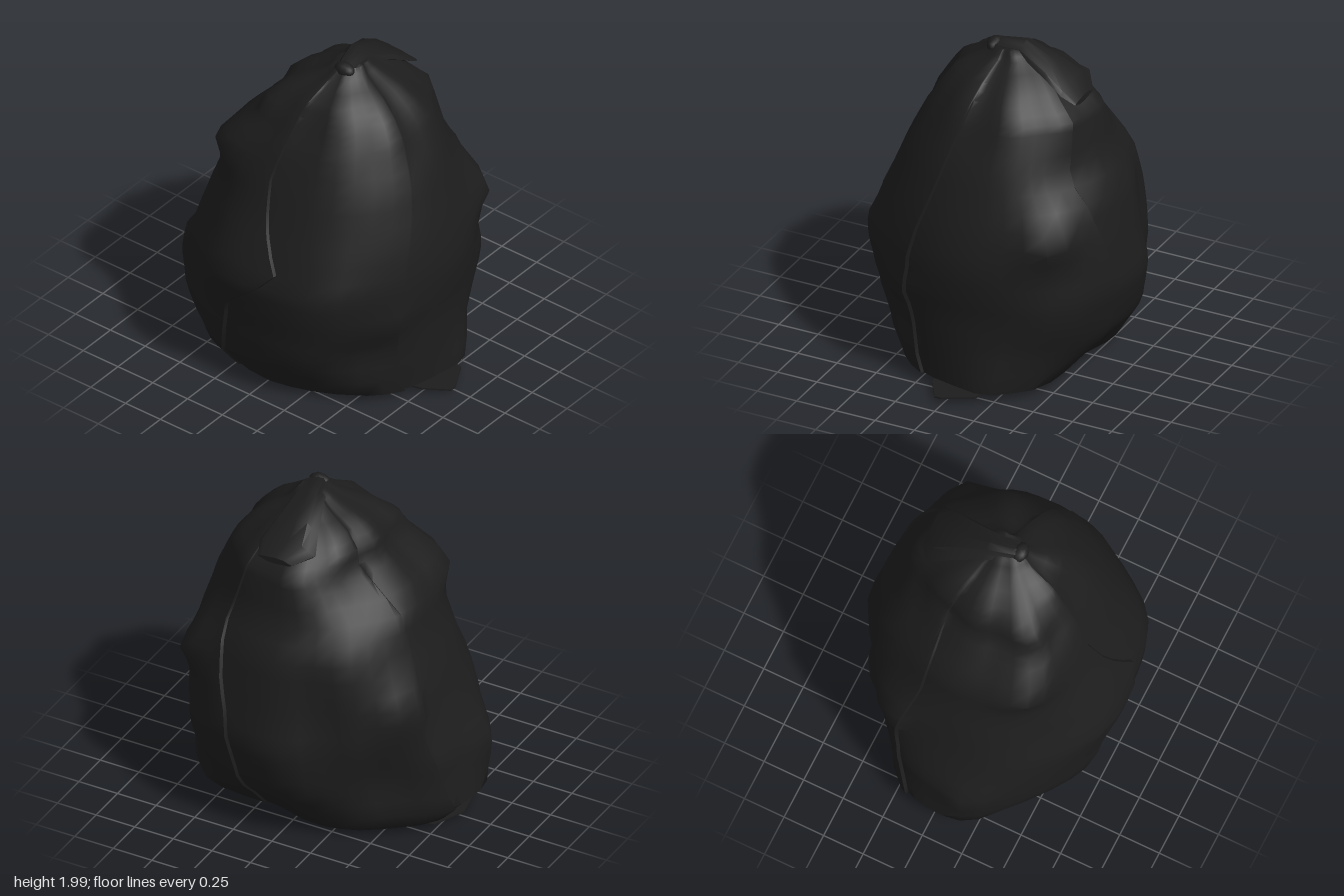
import * as THREE from 'three';
import { toCreasedNormals } from 'three/addons/utils/BufferGeometryUtils.js';

// Height profile of the sack: y, xMin, xMax, zBack, zFront
const PROFILE = [
  [0.01, -0.72, 0.62, -0.46, 0.59],
  [0.06, -0.80, 0.77, -0.58, 0.63],
  [0.17, -0.91, 0.77, -0.65, 0.71],
  [0.36, -0.87, 0.78, -0.76, 0.75],
  [0.50, -0.86, 0.79, -0.79, 0.76],
  [0.66, -0.81, 0.82, -0.81, 0.785],
  [0.82, -0.75, 0.83, -0.79, 0.81],
  [1.00, -0.69, 0.80, -0.77, 0.74],
  [1.20, -0.62, 0.75, -0.73, 0.64],
  [1.40, -0.57, 0.69, -0.61, 0.55],
  [1.57, -0.40, 0.60, -0.58, 0.47],
  [1.66, -0.31, 0.55, -0.56, 0.41],
  [1.75, -0.28, 0.48, -0.46, 0.35],
  [1.83, -0.20, 0.39, -0.37, 0.29],
  [1.92, -0.02, 0.25, -0.23, 0.14],
  [1.97, 0.05, 0.21, -0.14, 0.08],
];

// Overlapping folds: resting angle, then [y, angle] along the fold
const FOLDS = [
  { a0: 0, path: [[0, -0.32], [0.6, -0.2], [0.9, 0.22], [1.15, 0.03], [1.4, -0.08], [2, -0.1]] },
  { a0: 1.2, path: [[0, 1.2], [0.6, 1.15], [1.0, 1.22], [1.6, 1.4], [2, 1.5]] },
  { a0: 2.75, path: [[0, 2.85], [0.8, 2.8], [1.3, 2.6], [2, 2.75]] },
  { a0: -1.9, path: [[0, -1.8], [0.7, -1.95], [1.2, -1.85], [2, -2.0]] },
];

// Local swellings and hollows: angle, y, amount, angular width, height
const BULGES = [
  [2.31, 1.04, 0.12, 0.18, 0.14],
  [2.35, 0.52, 0.06, 0.25, 0.2],
  [2.35, 0.08, 0.06, 0.2, 0.12],
  [2.65, 0.9, 0.04, 0.2, 0.4],
  [2.95, 0.08, -0.12, 0.35, 0.12],
  [0.62, 0.7, 0.03, 0.25, 0.3],
  [-1.31, 0.44, 0.06, 0.16, 0.16],
  [-0.8, 0.1, -0.1, 0.35, 0.14],
  [-0.8, 1.47, 0.17, 0.35, 0.17],
  [-0.75, 1.72, 0.14, 0.35, 0.1],
  [-0.8, 0.92, -0.04, 0.3, 0.15],
  [-2.05, 0.88, 0.08, 0.2, 0.16],
  [-2.3, 0.4, -0.13, 0.3, 0.28],
  [-2.75, 0.75, -0.09, 0.18, 0.5],
  [-2.3, 1.55, -0.09, 0.3, 0.18],
  [0.9, 0.35, -0.05, 0.25, 0.12],
  [0.35, 0.1, -0.08, 0.3, 0.12],
  [1.95, 0.1, 0.07, 0.25, 0.13],
  [1.1, 0.6, 0.03, 0.15, 0.1],
  [3.0, 0.62, 0.02, 0.25, 0.2],
];

const wrap = a => Math.atan2(Math.sin(a), Math.cos(a));

// Straight interpolation along a table whose first column is the position
function sample(table, p) {
  let i = 0;
  while (i < table.length - 2 && p > table[i + 1][0]) i++;
  const a = table[i], b = table[i + 1];
  const t = THREE.MathUtils.clamp((p - a[0]) / (b[0] - a[0]), 0, 1);
  return a.map((v, k) => v + (b[k] - v) * t);
}

// Skin a stack of closed rings and cap both ends
function loft(rings, crease) {
  const n = rings[0].length, pos = [], index = [];
  rings.forEach(r => r.forEach(p => pos.push(p.x, p.y, p.z)));
  for (let j = 0; j < rings.length - 1; j++) {
    for (let i = 0; i < n; i++) {
      const k = (i + 1) % n, a = j * n + i, b = j * n + k;
      index.push(a, b, b + n, a, b + n, a + n);
    }
  }
  [0, rings.length - 1].forEach(j => {
    const c = new THREE.Vector3();
    rings[j].forEach(p => c.addScaledVector(p, 1 / n));
    const m = pos.length / 3;
    pos.push(c.x, c.y, c.z);
    for (let i = 0; i < n; i++) {
      const a = j * n + i, b = j * n + (i + 1) % n;
      if (j === 0) index.push(m, b, a);
      else index.push(m, a, b);
    }
  });
  const g = new THREE.BufferGeometry();
  g.setAttribute('position', new THREE.Float32BufferAttribute(pos, 3));
  g.setIndex(index);
  return toCreasedNormals(g, crease);
}

function sackGeometry() {
  // Columns: even spacing, plus a close pair at each fold edge
  const columns = [];
  for (let i = 0; i < 40; i++) columns.push(-Math.PI + (i + 0.5) * Math.PI / 20);
  FOLDS.forEach(f => columns.push(f.a0 - 0.006, f.a0 + 0.006));
  columns.sort((a, b) => a - b);

  // Rows: every profile height with one row between
  const rows = [];
  PROFILE.forEach((p, i) => {
    rows.push(p[0]);
    if (i > 1 && i < PROFILE.length - 1) rows.push((p[0] + PROFILE[i + 1][0]) / 2);
  });

  const rings = rows.map(y => {
    const [, x0, x1, z0, z1] = sample(PROFILE, y);
    const lean = Math.pow(y / 2, 3);
    const cx = 0.13 * lean, cz = -0.04 * lean;
    const edges = FOLDS.map(f => sample(f.path, y)[1]);
    return columns.map(c => {
      // Slide the columns so that they follow the folds
      let th = c;
      FOLDS.forEach((f, k) => {
        const d = Math.abs(wrap(c - f.a0));
        th += (edges[k] - f.a0) * Math.max(0, 1 - d / 0.75);
      });
      let s = 1;
      edges.forEach(e => {
        const d = wrap(th - e);
        if (d > 0 && d < 0.5) s -= 0.025 * (1 - d / 0.5);
      });
      BULGES.forEach(([a, by, amt, wa, wy]) => {
        s += amt * 1.25 * Math.exp(-((wrap(th - a) / wa) ** 2) - ((y - by) / wy) ** 2);
      });
      // Soft crumples and gathered pleats toward the neck
      s += 0.012 * Math.sin(5 * th + 4 * y) * Math.sin(3 * th - 5 * y);
      const gather = THREE.MathUtils.smoothstep(y, 1.3, 1.8);
      s += gather * 0.04 * Math.cos(9 * th + 1.3);
      const sx = Math.sin(th), sz = Math.cos(th);
      return new THREE.Vector3(
        cx + s * sx * (sx > 0 ? x1 - cx : cx - x0), y,
        cz + s * sz * (sz > 0 ? z1 - cz : cz - z0));
    });
  });
  return loft(rings, 0.85);
}

// Gathered end folded over the back: z, centre x, y, half width, half height
function tailGeometry() {
  const sections = [
    [0.08, 0.14, 1.95, 0.05, 0.035],
    [0.02, 0.13, 1.955, 0.07, 0.04],
    [-0.12, 0.10, 1.945, 0.09, 0.055],
    [-0.30, 0.09, 1.86, 0.14, 0.055],
    [-0.42, 0.08, 1.79, 0.18, 0.045],
    [-0.50, 0.12, 1.735, 0.11, 0.02],
  ];
  const rings = sections.map(([z, cx, y, w, h]) => {
    const ring = [];
    for (let i = 0; i < 12; i++) {
      const t = i * Math.PI / 6, r = i % 3 === 1 ? 0.82 : 1;
      ring.push(new THREE.Vector3(cx - w * r * Math.cos(t), y + h * r * Math.sin(t), z));
    }
    return ring;
  });
  return loft(rings, 0.6);
}

// Thin scrap of film lying near the ground, outlined in x, z
function flapGeometry(points) {
  const shape = new THREE.Shape(points.map(([x, z]) => new THREE.Vector2(x, -z)));
  return new THREE.ExtrudeGeometry(shape, { depth: 0.01, bevelEnabled: false })
    .rotateX(-Math.PI / 2).translate(0, 0.036, 0);
}

export function createModel() {
  const film = new THREE.MeshStandardMaterial({ color: 0x1d1d1d });
  film.name = 'black film';
  const model = new THREE.Group();
  model.name = 'tiedSack';
  const add = (name, geometry) => {
    const mesh = new THREE.Mesh(geometry, film);
    mesh.name = name;
    model.add(mesh);
    return mesh;
  };

  add('sackBody', sackGeometry());
  add('foldedTail', tailGeometry());

  // Tie at the neck
  const knot = add('neckKnot', new THREE.IcosahedronGeometry(0.06, 1));
  knot.scale.set(1.1, 0.8, 0.8);
  knot.position.set(0.14, 1.952, 0.055);

  // Loose film at the foot
  add('leftFootFlap', flapGeometry([[0.5, -0.2], [0.5, 0.2], [0.76, 0.14], [0.9, 0.05], [0.9, 0.01], [0.81, -0.16]]));
  add('rightFootFlap', flapGeometry([[-0.5, -0.25], [-0.74, -0.2], [-0.83, 0], [-0.8, 0.15], [-0.5, 0.2]]));

  return model;
}
